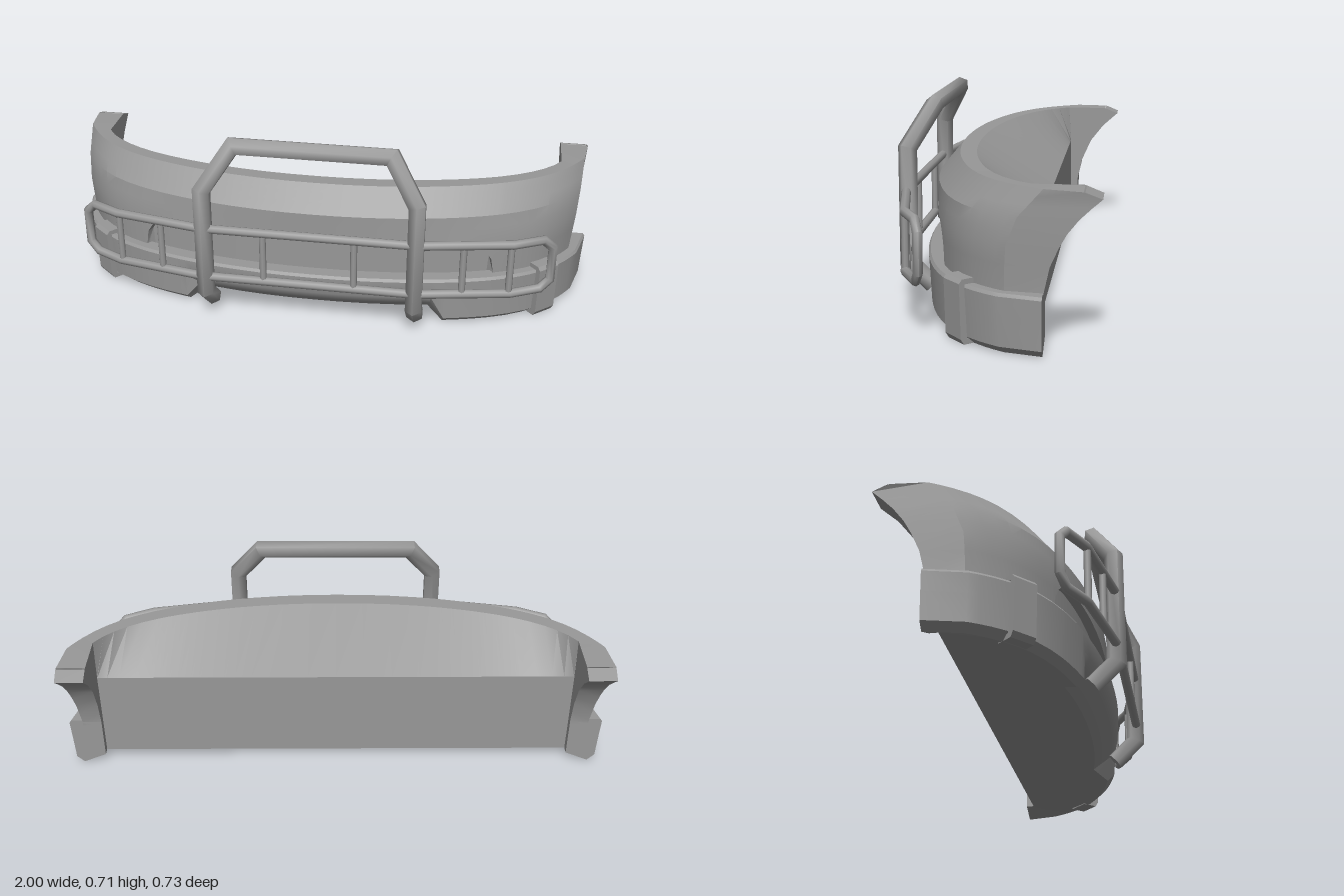
import * as THREE from 'three';
import { toCreasedNormals } from 'three/addons/utils/BufferGeometryUtils.js';

const V = (x, y, z) => new THREE.Vector3(x, y, z);
const material = new THREE.MeshStandardMaterial({ color: 0x989898, side: THREE.DoubleSide });

// Piecewise linear lookup through [key, value] pairs
function lookup(table, k) {
  for (let i = 1; i < table.length; i++) {
    const [a, va] = table[i - 1], [b, vb] = table[i];
    if (k <= b) return va + (vb - va) * Math.max(0, (k - a) / (b - a));
  }
  return table[table.length - 1][1];
}

// Surface through a list of point columns, all of one length
function loft(columns, crease = 0.4) {
  const n = columns[0].length, index = [];
  for (let i = 0; i < columns.length - 1; i++) {
    for (let j = 0; j < n - 1; j++) {
      const a = i * n + j, b = a + n;
      index.push(a, b, b + 1, a, b + 1, a + 1);
    }
  }
  const geo = new THREE.BufferGeometry().setFromPoints(columns.flat());
  geo.setIndex(index);
  return toCreasedNormals(geo.toNonIndexed(), crease);
}

// Tube along a polyline with mitred corners and flat caps
function mitredTube(path, radius, sides) {
  const dirs = path.slice(1).map((p, i) => p.clone().sub(path[i]).normalize());
  const u = V(0, 1, 0).cross(dirs[0]).normalize(), w = dirs[0].clone().cross(u);
  let ring = [];
  for (let k = 0; k <= sides; k++) {
    const a = (k / sides) * Math.PI * 2;
    ring.push(path[0].clone().addScaledVector(w, Math.cos(a) * radius).addScaledVector(u, -Math.sin(a) * radius));
  }
  const rings = [ring.map(() => path[0].clone()), ring];
  for (let i = 1; i < path.length; i++) {
    const d = dirs[i - 1], normal = d.clone().add(dirs[i] || d).normalize();
    ring = ring.map((p) => p.clone().addScaledVector(d, path[i].clone().sub(p).dot(normal) / d.dot(normal)));
    rings.push(ring);
  }
  rings.push(ring.map(() => path[path.length - 1].clone()));
  return loft(rings.reverse(), 1.1);
}

// Plan outline of the bumper; the last station each side is the wheel arch edge
const half = [0, 0.1, 0.2, 0.3, 0.36, 0.4, 0.44, 0.49, 0.52, 0.56, 0.6, 0.63, 0.655, 0.67, 0.73, 0.79, 0.84, 0.88, 0.92, 0.945, 0.965];
const right = half.map((x) => ({ x, s: 1, end: false })).concat({ x: 1, s: 1, end: true });
const stations = right.slice(1).reverse().map((q) => ({ ...q, s: -1 })).concat(right);
const LAST_INNER = 0.92;
const innerStations = stations.filter((st) => st.x <= LAST_INNER);

// Point of the outline moved inward by d
function outline({ x, end }, d) {
  if (end) return [x - d, -0.19];
  const z = 0.29 - 0.22 * x ** 2.2 - 0.19 * x ** 9;
  const slope = 0.484 * x ** 1.2 + 1.71 * x ** 8, len = Math.hypot(slope, 1);
  return [x - (d * slope) / len, z - d / len];
}

const archZ = [[0.19, -0.19], [0.28, -0.21], [0.37, -0.25], [0.44, -0.305], [0.495, -0.367], [0.518, -0.31]];
const frontShift = [[0.43, 0], [0.52, -0.075]];
const cornerShift = [[0.19, 0], [0.335, -0.005], [0.43, -0.045], [0.52, -0.125]];
const INNER = 0.88, BACK = -0.16, RIDGE = 0.37, FLOOR = 0.035;

// Point of the upper fascia at height y, sunk by d
function fasciaPoint(st, y, d = 0) {
  const t = Math.max(0, (y - 0.19) / 0.33);
  let [x, z] = outline(st, (st.end ? 0.05 : 0.035) + d);
  if (st.end) z = lookup(archZ, y);
  else z += THREE.MathUtils.lerp(lookup(frontShift, y), lookup(cornerShift, y), st.x ** 2);
  return V(st.s * x * (1 + 0.035 * t), st.end ? Math.min(y, 0.516) : y, z);
}

// Top height of the sunken centre panel
function recessTop(x) {
  if (x >= 0.67) return 0.19;
  return x <= 0.52 ? 0.335 : 0.19 + 0.145 * Math.sqrt(1 - ((x - 0.52) / 0.15) ** 2);
}

const rimInner = (st) => {
  if (st.end) return V(st.s * INNER, 0.516, -0.31);
  const p = fasciaPoint(st, 0.52, 0.06 - 0.015 * st.x ** 2);
  return V(st.s * Math.min(Math.abs(p.x), INNER), 0.518, p.z);
};

// Lower band: its front edge is raised between the bar mounts
function bandColumn(st) {
  const c = lookup([[0.44, 1], [0.49, 0]], st.x);
  const at = (y, d) => {
    const [x, z] = outline(st, d);
    return V(st.s * x, y, z);
  };
  return [at(0.196, 0.055), at(0.196, 0.007), at(0.186, 0), at(0.12, 0.004),
    at(0.025 + 0.06 * c, 0.009 + 0.016 * c), at(0.03 * c, 0.036 + 0.06 * c),
    V(st.s * Math.min(st.x, INNER), FLOOR, st.end ? -0.19 : BACK)];
}

export function createModel() {
  const model = new THREE.Group();
  const add = (name, geo, parent = model) => {
    const mesh = new THREE.Mesh(geo, material);
    mesh.name = name;
    parent.add(mesh);
    return mesh;
  };

  // Upper fascia with sunken panel and the lower band
  add('upperFascia', loft(stations.map((st) => {
    const yT = recessTop(st.x), sunk = st.x < 0.67 ? 0.033 : 0;
    return [fasciaPoint(st, 0.17, sunk), fasciaPoint(st, yT, sunk), fasciaPoint(st, yT),
      ...[0.28, 0.34, 0.385, 0.43, 0.465, 0.495, 0.52].map((y) => fasciaPoint(st, Math.max(y, yT)))];
  })));
  add('lowerBand', loft(stations.map(bandColumn), 0.5));

  // Rim, sloping deck and back panel
  add('topRim', loft(stations.map((st) => [fasciaPoint(st, 0.52), rimInner(st)])));
  add('rearDeck', loft(innerStations.map((st) => {
    const p = rimInner(st);
    return [p, V(st.s * Math.min(INNER, Math.abs(p.x) * 1.035), RIDGE, BACK)];
  }), 0.6));
  add('backPanel', loft([-INNER, INNER].map((x) => [V(x, RIDGE, BACK), V(x, FLOOR, BACK)])));

  // Wheel arch faces, band ends and inner walls
  for (const s of [-1, 1]) {
    const end = { x: 1, s, end: true };
    add('wheelArch', loft([0.17, 0.19, 0.235, 0.28, 0.325, 0.37, 0.405, 0.44, 0.495, 0.516].map((y) => {
      const p = fasciaPoint(end, y);
      return [p, V(s * INNER, p.y, p.z)];
    })));
    add('bandEnd', loft(bandColumn(end).slice(0, 6).map((p) => [p, V(s * INNER, Math.max(p.y, FLOOR), p.z)])));
    const rimZ = rimInner({ x: LAST_INNER, s, end: false }).z;
    const wall = new THREE.Shape([[FLOOR, -0.19], ...archZ, [0.518, rimZ], [RIDGE, BACK], [FLOOR, BACK]]
      .map(([y, z]) => new THREE.Vector2(-z, y)));
    add('wingInnerWall', new THREE.ShapeGeometry(wall).rotateY(Math.PI / 2).translate(s * INNER, 0, 0));
  }

  // Hooked straps gripping the band
  const hook = new THREE.Shape([[-0.05, 0.196], [-0.05, 0.213], [0.006, 0.213], [0.017, 0.2], [0.012, 0.02],
    [0, 0.001], [-0.06, 0.001], [-0.06, 0.012], [-0.012, 0.02], [-0.003, 0.196]].map(([x, y]) => new THREE.Vector2(x, y)));
  for (const s of [-1, 1]) {
    const geo = new THREE.ExtrudeGeometry(hook, { depth: 0.09, bevelEnabled: false }).translate(0, 0, -0.045);
    const strap = add('bandStrap', geo);
    const [x, z] = outline({ x: 0.85 }, 0);
    strap.position.set(s * x, 0, z);
    strap.rotation.y = s > 0 ? -0.85 : Math.PI + 0.85;
  }

  // Guard: main hoop, wrap-around rail and uprights
  const guard = new THREE.Group();
  guard.name = 'frontGuard';
  model.add(guard);
  const mirror = (pts) => pts.concat(pts.slice().reverse().map((p) => V(-p.x, p.y, p.z)));
  add('mainHoop', mitredTube(mirror([V(0.383, 0.045, 0.25), V(0.383, 0.125, 0.334), V(0.383, 0.535, 0.334),
    V(0.285, 0.679, 0.253)]), 0.0335, 6), guard);
  const rail = [V(0.39, 0.385, 0.34), V(0.72, 0.385, 0.278), V(0.825, 0.385, 0.225), V(0.86, 0.35, 0.21),
    V(0.86, 0.22, 0.21), V(0.825, 0.186, 0.225), V(0.72, 0.186, 0.278), V(0.39, 0.186, 0.34)];
  add('wrapRail', mitredTube([V(0, 0.385, 0.34), ...mirror(rail), V(0, 0.385, 0.34)], 0.0165, 8), guard);
  for (const x of [0.165, 0.55, 0.715]) {
    const z = lookup([[0.39, 0.34], [0.72, 0.278]], x);
    for (const s of [-1, 1]) {
      add('upright', new THREE.CylinderGeometry(0.0125, 0.0125, 0.2, 8).translate(s * x, 0.286, z), guard);
    }
  }
  return model;
}
